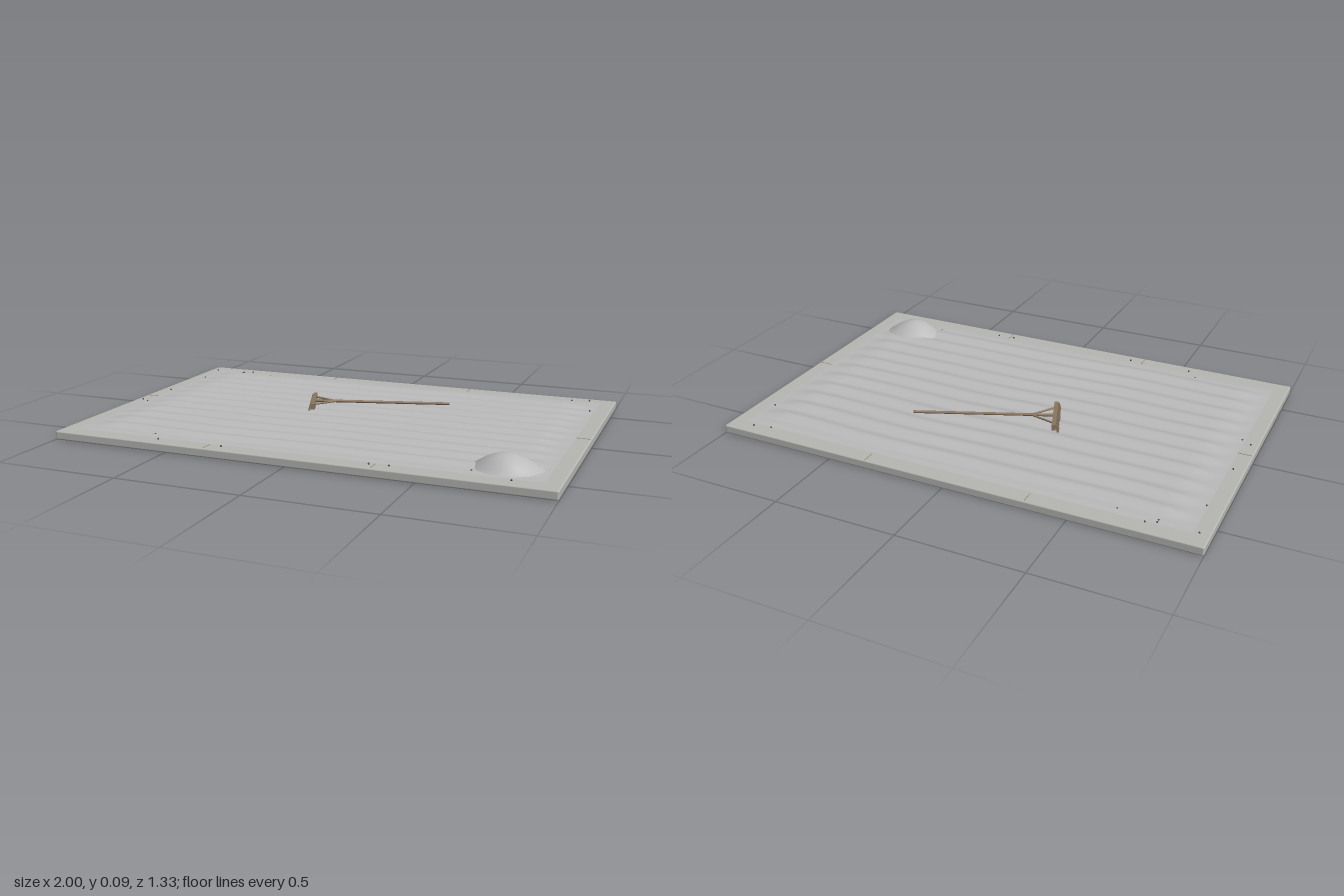
import * as THREE from 'three';
import { RoundedBoxGeometry } from 'three/addons/geometries/RoundedBoxGeometry.js';

const mat = (name, color, side = THREE.FrontSide) => {
  const m = new THREE.MeshStandardMaterial({ color, side });
  m.name = name;
  return m;
};

export function createModel() {
  const model = new THREE.Group();
  model.name = 'rakedSandGarden';
  const stone = mat('pale stone', 0xb6b6b3);
  const sand = mat('sand grey', 0xbababa);
  const wood = mat('rake wood', 0x8a7660);
  const seamTan = mat('seam tan', 0xa5977f);
  const dark = mat('dark pebble', 0x4a4640);

  const add = (parent, name, geo, material, x = 0, y = 0, z = 0) => {
    const mesh = new THREE.Mesh(geo, material);
    mesh.name = name;
    mesh.position.set(x, y, z);
    parent.add(mesh);
    return mesh;
  };
  const rod = (parent, name, a, b, r, material) => {
    const dir = b.clone().sub(a);
    const mesh = add(parent, name, new THREE.CylinderGeometry(r, r, dir.length(), 10), material);
    mesh.position.copy(a).add(b).multiplyScalar(0.5);
    mesh.quaternion.setFromUnitVectors(new THREE.Vector3(0, 1, 0), dir.normalize());
  };

  // Base slab with softened edges
  add(model, 'baseSlab', new RoundedBoxGeometry(2, 0.035, 1.332, 3, 0.006), stone, 0, 0.0175, 0);

  // Raked sand: eleven gently wandering ridges that fade out at the rim
  const bed = new THREE.PlaneGeometry(1.88, 1.2, 90, 220).rotateX(-Math.PI / 2);
  const p = bed.attributes.position;
  for (let i = 0; i < p.count; i++) {
    const x = p.getX(i), z = p.getZ(i);
    const fade = THREE.MathUtils.smoothstep(0.94 - Math.abs(x), 0, 0.14)
      * THREE.MathUtils.smoothstep(0.6 - Math.abs(z), 0, 0.07);
    const bend = 0.005 * Math.sin(x * 5 + 0.4) + 0.003 * Math.sin(x * 9 + z * 4);
    const ridge = 0.5 + 0.5 * Math.cos((z + bend) * 2 * Math.PI / 0.1005);
    p.setY(i, 0.0358 + fade * (0.003 + 0.0105 * ridge));
  }
  bed.computeVertexNormals();
  add(model, 'rakedSand', bed, sand);

  // Rounded sand mound in the front left corner
  const profile = [];
  for (let i = 0; i <= 16; i++) {
    const t = 1 - i / 16;
    profile.push(new THREE.Vector2(t, Math.pow(1 - t * t, 1.25)));
  }
  const mound = new THREE.LatheGeometry(profile, 48);
  const q = mound.attributes.position;
  for (let i = 0; i < q.count; i++) {
    const h = q.getY(i);
    q.setXYZ(i, q.getX(i) * 0.133, h * 0.058, q.getZ(i) * 0.112 + h * 0.013);
  }
  mound.computeVertexNormals();
  add(model, 'sandMound', mound, sand, 0.782, 0.036, 0.478);

  // Thin seams across the border
  for (const s of [-1, 1]) {
    for (const x of [-0.335, 0.335]) {
      add(model, 'borderSeam', new THREE.BoxGeometry(0.004, 0.002, 0.052), seamTan, x, 0.0352, s * 0.634);
    }
    add(model, 'borderSeam', new THREE.BoxGeometry(0.055, 0.002, 0.004), seamTan, s * 0.967, 0.0352, 0);
  }

  // Tiny pebbles scattered around the rim
  const pebbles = [
    [-0.96, -0.59], [-0.81, -0.59], [-0.77, -0.605], [-0.81, -0.575], [-0.655, -0.567],
    [-0.935, -0.415], [-0.955, -0.13], [-0.97, 0.08], [-0.93, 0.105], [-0.6, 0.565],
    [-0.555, 0.618], [-0.28, 0.618], [0.315, 0.62], [0.39, 0.615], [0.675, 0.56],
    [0.83, 0.618], [0.92, -0.44], [0.89, -0.62], [0.815, -0.605],
  ];
  for (const [x, z] of pebbles) {
    add(model, 'pebble', new THREE.IcosahedronGeometry(0.004, 0), dark, x, 0.038, z);
  }

  // Wooden rake: local +x runs along the handle, local z along the head
  const rake = new THREE.Group();
  rake.name = 'rake';
  rake.position.set(-0.2, 0, -0.07);
  rake.rotation.y = 0.352;
  model.add(rake);
  add(rake, 'rakeHead', new THREE.BoxGeometry(0.016, 0.026, 0.204), wood, 0, 0.063, 0);
  for (let i = 0; i < 9; i++) {
    const tooth = add(rake, 'rakeTooth', new THREE.BoxGeometry(0.009, 0.034, 0.01), wood,
      -0.013, 0.057, (i - 4) * 0.0232);
    tooth.rotation.z = -0.25;
  }
  const v = (x, y, z) => new THREE.Vector3(x, y, z);
  rod(rake, 'rakeHandle', v(0, 0.066, 0), v(0.583, 0.055, 0), 0.0058, wood);
  for (const s of [-1, 1]) {
    rod(rake, 'rakeBrace', v(0.004, 0.066, s * 0.066), v(0.098, 0.064, 0), 0.004, wood);
  }

  return model;
}
